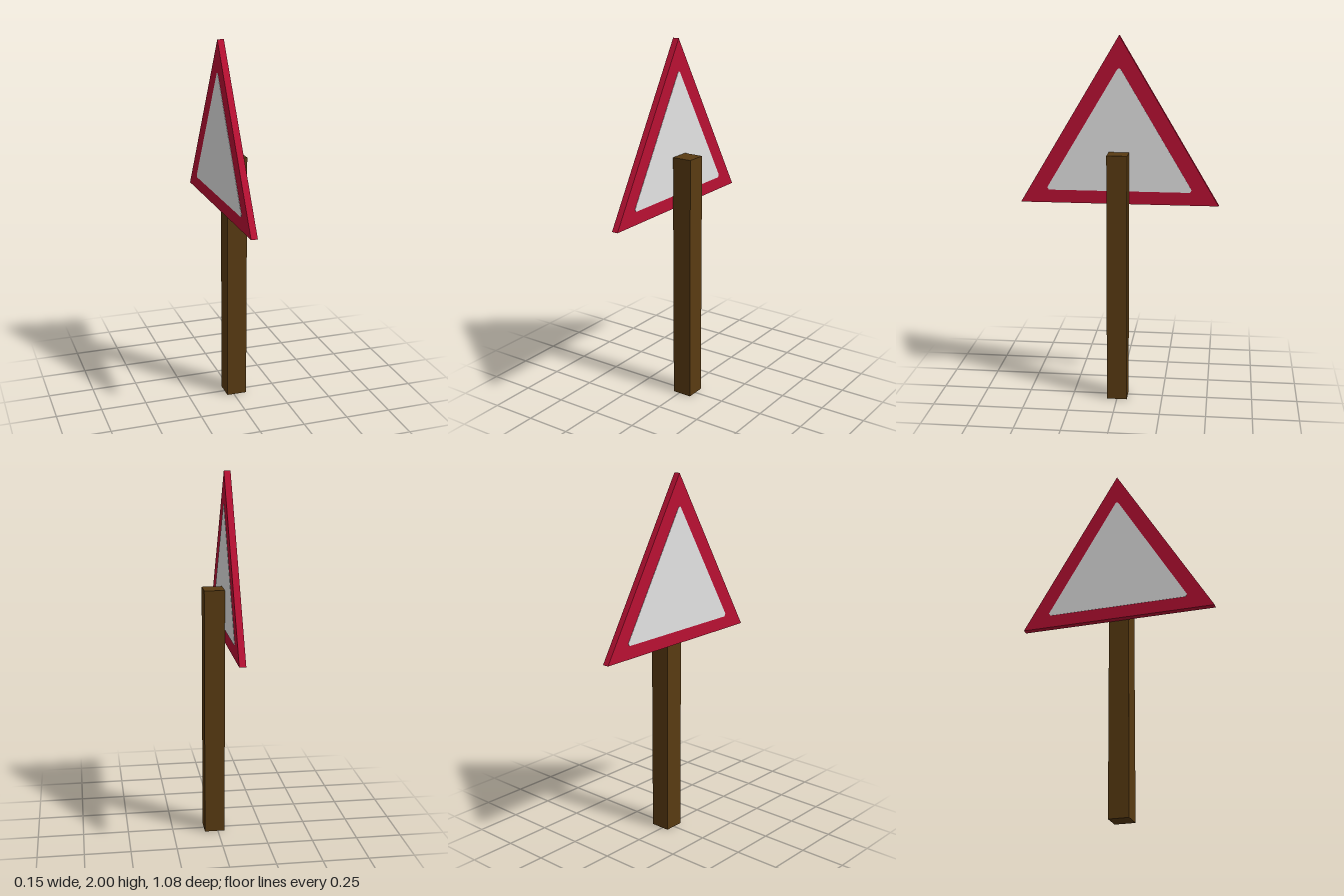
import * as THREE from 'three';

const red = new THREE.MeshStandardMaterial({ name: 'border red', color: 0xb91033 });
const white = new THREE.MeshStandardMaterial({ name: 'panel white', color: 0xe3e3e3 });
const brown = new THREE.MeshStandardMaterial({ name: 'post brown', color: 0x593b12 });

// Extrudes a left-right symmetric outline, given as [z, y] points of one half, along x from x0 to x1.
function plate(name, half, x0, x1, material) {
  const mirrored = half.filter(([z]) => z > 0).map(([z, y]) => [-z, y]).reverse();
  const shape = new THREE.Shape([...half, ...mirrored].map(([z, y]) => new THREE.Vector2(z, y)));
  const geometry = new THREE.ExtrudeGeometry(shape, { depth: x1 - x0, bevelEnabled: false });
  geometry.rotateY(Math.PI / 2);
  geometry.translate(x0, 0, 0);
  const mesh = new THREE.Mesh(geometry, material);
  mesh.name = name;
  return mesh;
}

export function createModel() {
  const model = new THREE.Group();
  model.name = 'warningSign';

  // Square wooden post
  const post = new THREE.Mesh(new THREE.BoxGeometry(0.111, 1.38, 0.111), brown);
  post.name = 'post';
  post.position.set(0.0175, 0.69, 0);
  model.add(post);

  // Triangular sign board
  const back = -0.073, front = -0.038;
  model.add(plate('signBoard', [[0.54, 1.095], [0, 2]], back, front, red));

  // Pale panels with clipped corners on both faces
  const panel = [[0.385, 1.166], [0.393, 1.18], [0.01, 1.822], [0.004, 1.828]];
  model.add(plate('panelPostSide', panel, front - 0.001, front + 0.0015, white));
  model.add(plate('panelOuterSide', panel, back - 0.0015, back + 0.001, white));

  return model;
}
